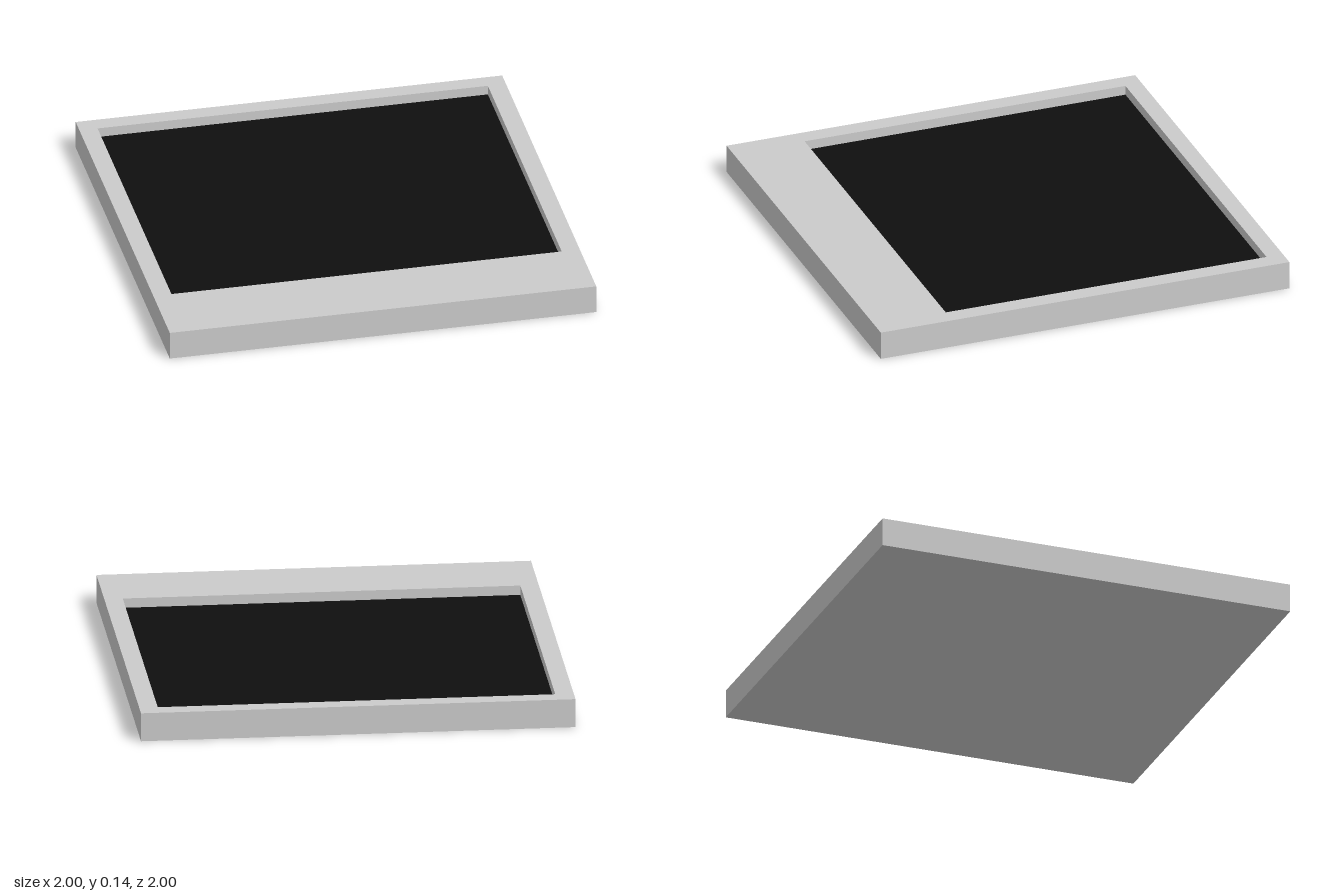
import * as THREE from 'three';

const SIZE = 2, HEIGHT = 0.135, FLOOR = 0.09;
const HOLE = { x0: -0.915, x1: 0.915, z0: -0.92, z1: 0.65 };

// Adds a closed rectangle to a shape or path
function rect(path, x0, y0, x1, y1) {
  path.moveTo(x0, y0);
  path.lineTo(x1, y0);
  path.lineTo(x1, y1);
  path.lineTo(x0, y1);
  path.closePath();
  return path;
}

export function createModel() {
  const group = new THREE.Group();
  group.name = 'instantPhoto';
  const grey = new THREE.MeshStandardMaterial({ color: 0xcccccc });
  const black = new THREE.MeshStandardMaterial({ color: 0x0f0f0f });

  const add = (name, geometry, material) => {
    const mesh = new THREE.Mesh(geometry, material);
    mesh.name = name;
    group.add(mesh);
    return mesh;
  };

  // Border with a wide front margin, extruded upwards
  const outline = rect(new THREE.Shape(), -SIZE / 2, -SIZE / 2, SIZE / 2, SIZE / 2);
  outline.holes.push(rect(new THREE.Path(), HOLE.x0, -HOLE.z1, HOLE.x1, -HOLE.z0));
  const frame = new THREE.ExtrudeGeometry(outline, { depth: HEIGHT, bevelEnabled: false });
  add('frame', frame.rotateX(-Math.PI / 2), grey);

  // Sunken picture above, closing back panel below
  const width = HOLE.x1 - HOLE.x0, length = HOLE.z1 - HOLE.z0;
  const centreZ = (HOLE.z0 + HOLE.z1) / 2;
  const picture = new THREE.PlaneGeometry(width, length).rotateX(-Math.PI / 2);
  add('picture', picture, black).position.set(0, FLOOR, centreZ);
  const back = new THREE.PlaneGeometry(width, length).rotateX(Math.PI / 2);
  add('backPanel', back, grey).position.set(0, 0, centreZ);

  return group;
}
